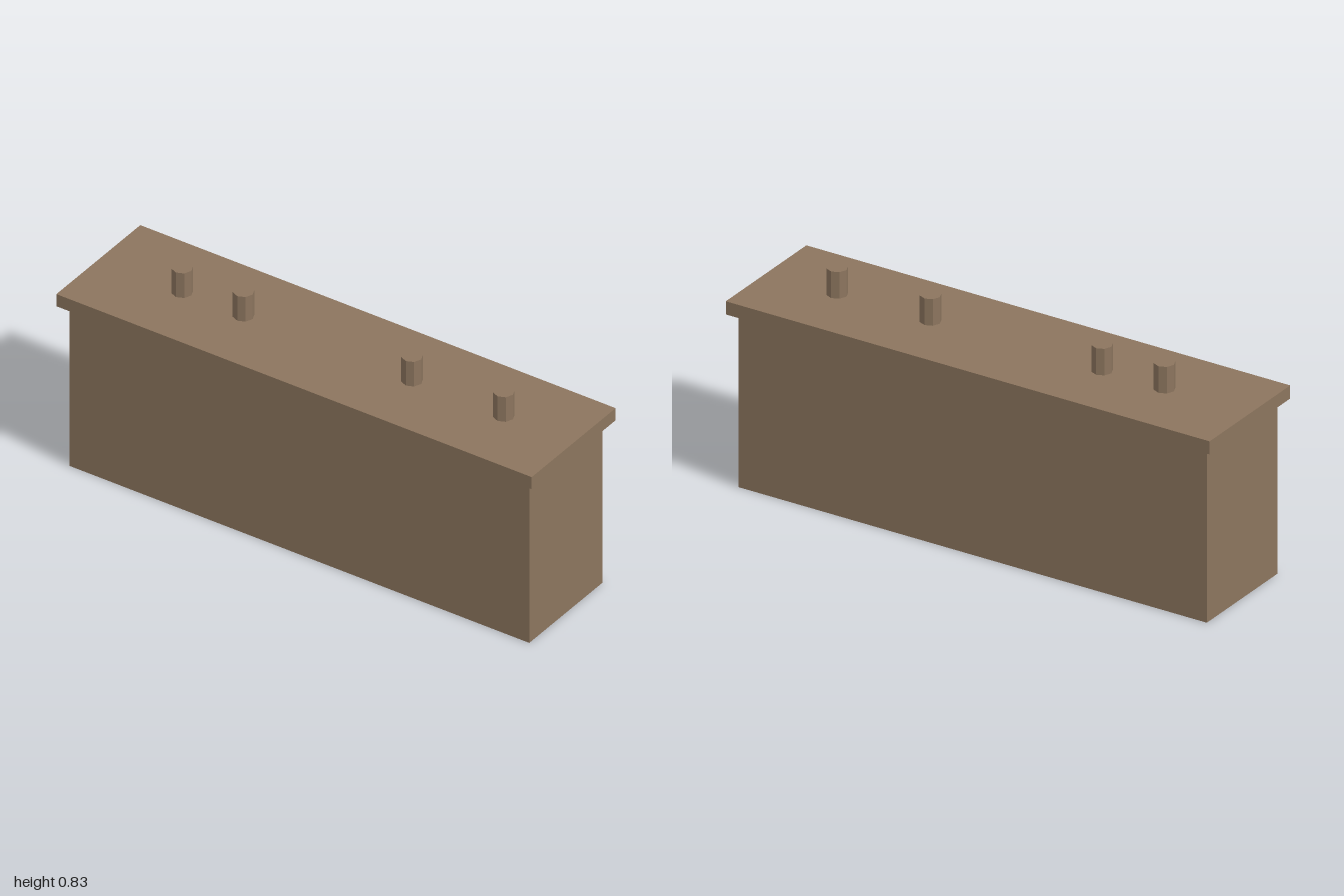
import * as THREE from 'three';

export function createModel() {
  const model = new THREE.Group();
  const brown = new THREE.MeshStandardMaterial({ color: 0x8c755e, flatShading: true });
  brown.name = 'brown';

  // Adds a named part resting at height y
  const add = (name, geometry, height, x, y) => {
    const mesh = new THREE.Mesh(geometry, brown);
    mesh.name = name;
    mesh.position.set(x, y + height / 2, 0);
    model.add(mesh);
  };

  // Block and overhanging slab
  add('body', new THREE.BoxGeometry(1.935, 0.676, 0.451), 0.676, 0, 0);
  add('topSlab', new THREE.BoxGeometry(2, 0.051, 0.516), 0.051, 0, 0.676);

  // Eight-sided pegs, unevenly spaced along the top
  const peg = new THREE.CylinderGeometry(0.0385, 0.0385, 0.103, 8);
  [-0.647, -0.389, 0.32, 0.706].forEach((x, i) => add(`peg${i + 1}`, peg, 0.103, x, 0.727));

  return model;
}
